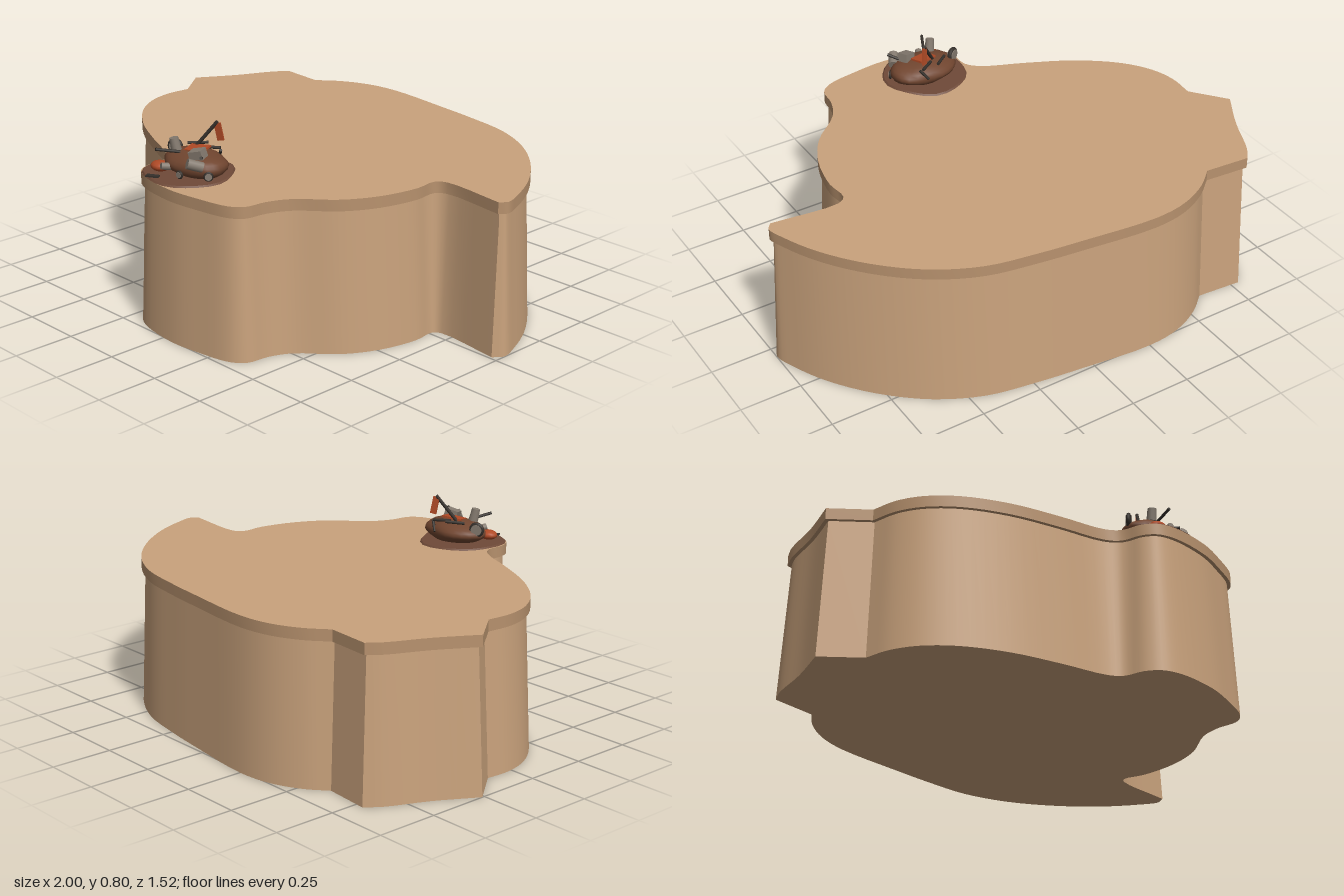
import * as THREE from 'three';
import { toCreasedNormals } from 'three/addons/utils/BufferGeometryUtils.js';

const TOP = 0.605, RIM = 0.56;

// Footprint as smooth runs [x, z]; each run ends at the corner that starts the next one
const RUNS = [
  [[-1, -0.26], [-0.905, -0.42], [-0.83, -0.58], [-0.785, -0.64]],
  [[-0.785, -0.64], [-0.6, -0.625]],
  [[-0.6, -0.625], [-0.52, -0.69], [-0.4, -0.745], [-0.255, -0.765], [0.05, -0.735], [0.24, -0.71], [0.44, -0.67],
    [0.62, -0.58], [0.78, -0.44], [0.905, -0.275], [0.975, -0.13], [0.998, -0.05], [0.97, -0.01]],
  [[0.97, -0.01], [0.7, -0.035], [0.67, -0.015], [0.675, 0.08], [0.64, 0.24], [0.565, 0.375], [0.44, 0.495],
    [0.4, 0.58], [0.385, 0.67], [0.335, 0.715], [0.19, 0.745], [0.05, 0.757], [-0.13, 0.73], [-0.2, 0.69],
    [-0.23, 0.63], [-0.235, 0.55], [-0.275, 0.505], [-0.45, 0.425], [-0.635, 0.33], [-0.785, 0.21],
    [-0.865, 0.095], [-0.895, -0.015], [-0.89, -0.12]],
  [[-0.89, -0.12], [-1, -0.26]],
];

const mat = (color, extra = {}) => new THREE.MeshStandardMaterial({ color, roughness: 0.9, ...extra });
const sand = mat(0xc9a27c), sandRim = mat(0xb8926e);
const brown = mat(0x70452f), soil = mat(0x6f4a38), rust = mat(0xb04a26);
const steel = mat(0x857b70), dark = mat(0x35302b);

function footprint() {
  const pts = [];
  for (const run of RUNS) {
    if (run.length === 2) { pts.push(new THREE.Vector2(...run[0])); continue; }
    const curve = new THREE.CatmullRomCurve3(run.map(([x, z]) => new THREE.Vector3(x, 0, z)), false, 'centripetal');
    const n = (run.length - 1) * 4;
    for (let i = 0; i < n; i++) {
      const p = curve.getPoint(i / n);
      pts.push(new THREE.Vector2(p.x, p.z));
    }
  }
  return pts;
}

// Moves every outline point inward along its mitred normal
function inset(pts, d) {
  const n = pts.length;
  return pts.map((p, i) => {
    const a = p.clone().sub(pts[(i + n - 1) % n]).normalize();
    const b = pts[(i + 1) % n].clone().sub(p).normalize();
    const na = new THREE.Vector2(-a.y, a.x), nb = new THREE.Vector2(-b.y, b.x);
    const m = na.add(nb).normalize();
    return p.clone().addScaledVector(m, d / Math.max(0.7, m.dot(nb)));
  });
}

// Skin between two outlines at two heights
function band(lower, y0, upper, y1) {
  const pos = [], n = lower.length;
  for (let i = 0; i < n; i++) {
    const j = (i + 1) % n;
    const a = [lower[i].x, y0, lower[i].y], b = [lower[j].x, y0, lower[j].y];
    const c = [upper[j].x, y1, upper[j].y], d = [upper[i].x, y1, upper[i].y];
    pos.push(...a, ...c, ...b, ...a, ...d, ...c);
  }
  const g = new THREE.BufferGeometry();
  g.setAttribute('position', new THREE.Float32BufferAttribute(pos, 3));
  return toCreasedNormals(g, 0.55);
}

// Flat lid over an outline, facing up or down
function lid(pts, y, up) {
  const s = up ? -1 : 1;
  const g = new THREE.ShapeGeometry(new THREE.Shape(pts.map(p => new THREE.Vector2(p.x, s * p.y))));
  return g.rotateX(s * Math.PI / 2).translate(0, y, 0);
}

function add(parent, name, geo, material, pos = [0, 0, 0], rot = [0, 0, 0]) {
  const m = new THREE.Mesh(geo, material);
  m.name = name;
  m.position.set(...pos);
  m.rotation.set(...rot);
  parent.add(m);
  return m;
}

function rod(parent, name, a, b, r, material) {
  const A = new THREE.Vector3(...a), B = new THREE.Vector3(...b), d = B.clone().sub(A);
  const m = add(parent, name, new THREE.CylinderGeometry(r, r, d.length(), 8), material);
  m.position.copy(A).add(B).multiplyScalar(0.5);
  m.quaternion.setFromUnitVectors(new THREE.Vector3(0, 1, 0), d.normalize());
  return m;
}

function createPlateau() {
  const g = new THREE.Group();
  g.name = 'plateau';
  const base = footprint(), wallTop = inset(base, 0.026), rim = inset(base, 0.011);
  add(g, 'cliffWall', band(base, 0, wallTop, RIM), sand);
  add(g, 'underside', lid(base, 0, false), sand);
  add(g, 'rimUnderside', band(wallTop, RIM, rim, RIM), sandRim);
  add(g, 'rimEdge', band(rim, RIM, rim, TOP), sandRim);
  add(g, 'plateauTop', lid(rim, TOP, true), sand);
  return g;
}

function createWreck() {
  const g = new THREE.Group();
  g.name = 'scrapHeap';

  // Stained ground with an uneven edge
  const stain = new THREE.CylinderGeometry(0.168, 0.174, 0.006, 24);
  const p = stain.attributes.position;
  for (let i = 0; i < p.count; i++) {
    const a = Math.atan2(p.getZ(i), p.getX(i)), k = 1 + 0.03 * Math.sin(3 * a) + 0.025 * Math.cos(5 * a);
    p.setXYZ(i, p.getX(i) * k, p.getY(i), p.getZ(i) * k);
  }
  add(g, 'groundStain', stain, soil, [-0.045, TOP + 0.003, 0.57]);

  // Lumpy mound
  const mound = new THREE.SphereGeometry(1, 24, 14);
  const q = mound.attributes.position;
  for (let i = 0; i < q.count; i++) {
    const x = q.getX(i), y = q.getY(i), z = q.getZ(i);
    const k = 1 + 0.04 * Math.sin(5 * x + 3 * z) * Math.cos(4 * y);
    q.setXYZ(i, x * k * 0.145, y * k * 0.05, z * k * 0.1);
  }
  mound.computeVertexNormals();
  add(g, 'mound', mound, brown, [-0.025, 0.648, 0.555]);

  // Mast with a hanging rusty pennant
  rod(g, 'mast', [-0.06, 0.69, 0.53], [0.01, 0.797, 0.475], 0.007, dark);
  add(g, 'pennant', new THREE.BoxGeometry(0.026, 0.07, 0.008), rust, [0.013, 0.757, 0.47], [0.1, 0.5, 0.12]);

  // Wheels: tyre and hub
  const wheels = [[[-0.16, 0.675, 0.54], 0.03, [0, 0.5, 0]], [[0.0, 0.628, 0.655], 0.016, [0, 0.1, 0]],
    [[0.1, 0.632, 0.6], 0.018, [0, 0.9, 0]]];
  for (const [pos, r, rot] of wheels) {
    const w = new THREE.Group();
    w.name = 'wheel';
    w.position.set(...pos);
    w.rotation.set(...rot);
    add(w, 'tyre', new THREE.TorusGeometry(r * 0.75, r * 0.3, 8, 18), dark);
    add(w, 'hub', new THREE.CylinderGeometry(r * 0.75, r * 0.75, r * 0.8, 14), steel, [0, 0, 0], [Math.PI / 2, 0, 0]);
    g.add(w);
  }

  // Drums and crates
  add(g, 'standingDrum', new THREE.CylinderGeometry(0.017, 0.02, 0.05, 12), steel, [-0.088, 0.715, 0.6], [0.15, 0, 0.15]);
  add(g, 'lyingDrum', new THREE.CylinderGeometry(0.02, 0.02, 0.06, 12), steel, [0.065, 0.675, 0.635], [1.2, 0, 0.5]);
  add(g, 'sideDrum', new THREE.CylinderGeometry(0.014, 0.014, 0.04, 12), steel, [-0.07, 0.645, 0.66], [1.4, 0, 0.4]);
  add(g, 'crate', new THREE.BoxGeometry(0.055, 0.035, 0.045), steel, [0.03, 0.7, 0.59], [0.1, 0.4, 0.2]);

  // Rusty plates
  add(g, 'topPlate', new THREE.BoxGeometry(0.085, 0.008, 0.06), rust, [-0.025, 0.7, 0.545], [0.12, 0.3, 0.05]);
  add(g, 'sidePlate', new THREE.SphereGeometry(0.04, 12, 8).scale(1, 0.5, 0.85), rust, [-0.125, 0.63, 0.645]);
  add(g, 'loosePlate', new THREE.BoxGeometry(0.05, 0.006, 0.022), dark, [-0.09, 0.614, 0.71], [0, 0.5, 0]);

  // Loose bars
  const bars = [[[0.03, 0.68, 0.57], [0.095, 0.71, 0.63]], [[-0.11, 0.695, 0.52], [-0.05, 0.7, 0.47]],
    [[-0.04, 0.695, 0.51], [0.02, 0.695, 0.47]], [[-0.06, 0.69, 0.6], [-0.1, 0.71, 0.685]],
    [[0.0, 0.65, 0.46], [0.03, 0.69, 0.478]]];
  for (const [a, b] of bars) rod(g, 'bar', a, b, 0.006, dark);
  return g;
}

export function createModel() {
  const model = new THREE.Group();
  model.name = 'plateauWithScrapHeap';
  model.add(createPlateau(), createWreck());
  return model;
}
